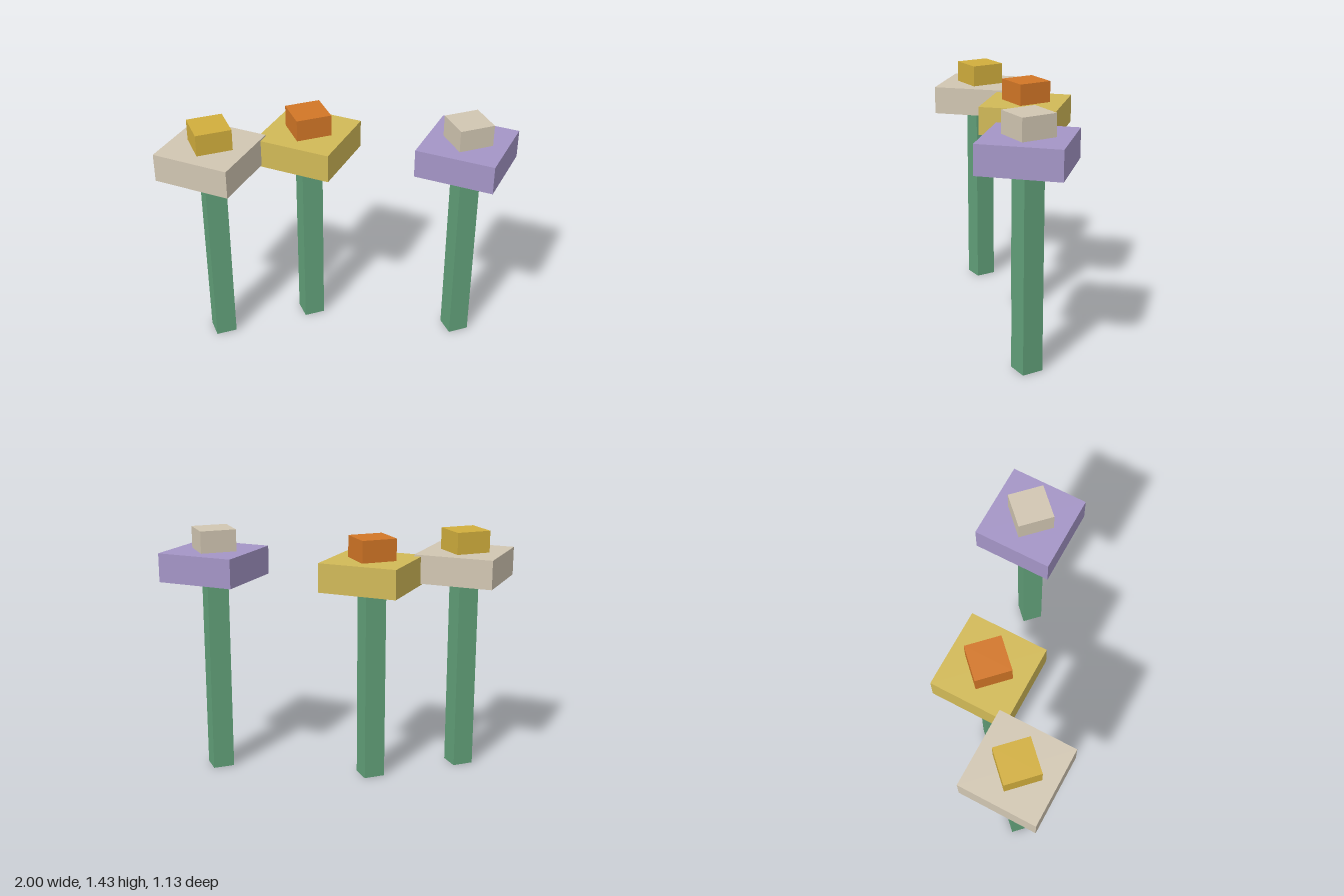
import * as THREE from 'three';

const paint = (name, color) => {
  const m = new THREE.MeshStandardMaterial({ color });
  m.name = name;
  return m;
};

export function createModel() {
  const green = paint('stem green', 0x62a17a);
  const cream = paint('cream', 0xd1c6b2);
  const yellow = paint('petal yellow', 0xd1b957);
  const purple = paint('petal purple', 0xa495c6);
  const orange = paint('orange', 0xd27626);
  const gold = paint('centre gold', 0xd1ae3d);

  const model = new THREE.Group();
  model.name = 'flowers';

  // Box standing on height y0 and reaching y1
  const block = (parent, name, width, y0, y1, material, turn = 0) => {
    const mesh = new THREE.Mesh(new THREE.BoxGeometry(width, y1 - y0, width), material);
    mesh.name = name;
    mesh.position.y = (y0 + y1) / 2;
    mesh.rotation.y = turn;
    parent.add(mesh);
  };

  // Each flower: square stem, diamond-turned petals, square centre
  const flowers = [
    ['leftFlower', 0.674, 0.243, 1.145, purple, cream],
    ['middleFlower', -0.104, -0.229, 1.12, yellow, orange],
    ['rightFlower', -0.678, -0.244, 1.13, cream, gold],
  ];
  for (const [name, x, z, height, petalPaint, centrePaint] of flowers) {
    const flower = new THREE.Group();
    flower.name = name;
    flower.position.set(x, 0, z);
    block(flower, 'stem', 0.123, 0, height + 0.02, green);
    block(flower, 'petals', 0.456, height, height + 0.165, petalPaint, Math.PI / 4);
    block(flower, 'centre', 0.205, height + 0.085, height + 0.29, centrePaint);
    model.add(flower);
  }
  return model;
}
